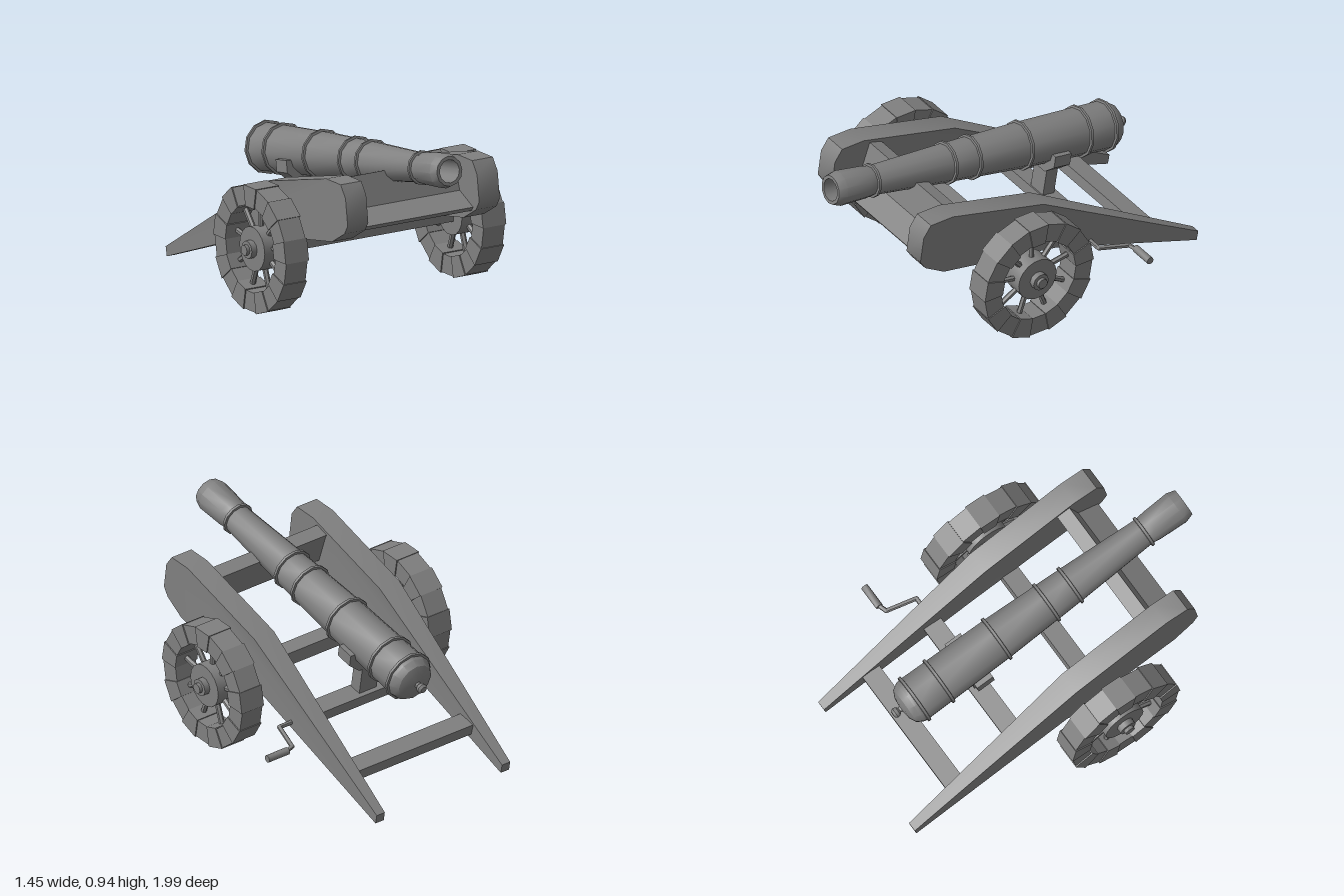
import * as THREE from 'three';
import { toCreasedNormals } from 'three/addons/utils/BufferGeometryUtils.js';

const mat = new THREE.MeshStandardMaterial({ color: 0x808080 });
const flat = new THREE.MeshStandardMaterial({ color: 0x808080, flatShading: true });
const CX = -0.02;                       // centre line of the carriage

function add(parent, name, geo, x = 0, y = 0, z = 0, material = flat) {
  const m = new THREE.Mesh(geo, material);
  m.name = name;
  m.position.set(x, y, z);
  parent.add(m);
  return m;
}

// Outline in the xy plane, extruded along z and centred on z = 0
function plate(points, depth) {
  const shape = new THREE.Shape(points.map(([x, y]) => new THREE.Vector2(x, y)));
  return new THREE.ExtrudeGeometry(shape, { depth, bevelEnabled: false }).translate(0, 0, -depth / 2);
}

// Side profile given as [z, y] points, extruded to a width centred on x = 0
const slab = (points, width) => plate(points, width).rotateY(-Math.PI / 2);

// Round bar between two points
function bar(parent, name, a, b, r, sides = 8) {
  const from = new THREE.Vector3(...a), to = new THREE.Vector3(...b);
  const dir = to.clone().sub(from);
  const geo = toCreasedNormals(new THREE.CylinderGeometry(r, r, dir.length(), sides), 0.9);
  const mid = from.add(to).multiplyScalar(0.5);
  const m = add(parent, name, geo, mid.x, mid.y, mid.z, mat);
  m.quaternion.setFromUnitVectors(new THREE.Vector3(0, 1, 0), dir.normalize());
}

function makeBarrel() {
  const barrel = new THREE.Group();
  barrel.name = 'barrel';
  const ring = (r, s) => [[r, s - 0.009], [r + 0.012, s - 0.007], [r + 0.012, s + 0.007], [r, s + 0.009]];
  // Radius and distance along the bore axis, breech to muzzle and back down the bore
  const profile = [
    [0, -0.848], [0.018, -0.845], [0.028, -0.832], [0.025, -0.815], [0.014, -0.805], [0.018, -0.795],
    [0.065, -0.789], [0.103, -0.771], [0.124, -0.738],
    ...ring(0.128, -0.71), ...ring(0.126, -0.555), ...ring(0.12, -0.19),
    ...ring(0.108, 0.125), ...ring(0.102, 0.275), ...ring(0.078, 0.74),
    [0.084, 0.79], [0.092, 0.945], [0.078, 0.992], [0.06, 0.992], [0.056, 0.35], [0, 0.35],
  ].map(([r, s]) => new THREE.Vector2(r, s));
  const geo = new THREE.LatheGeometry(profile, 12).rotateX(Math.PI / 2);
  add(barrel, 'gunTube', toCreasedNormals(geo, 0.56), 0, 0, 0, mat);
  // Saddle block gripping the tube, its lower corners cut off
  add(barrel, 'saddle', plate([
    [-0.145, -0.02], [-0.145, -0.085], [-0.075, -0.145], [0.075, -0.145], [0.145, -0.085], [0.145, -0.02],
  ], 0.1), 0, 0, -0.37);
  barrel.position.set(CX, 0.7, 0);
  barrel.rotation.x = -0.163;
  return barrel;
}

function makeWheel(side) {
  const wheel = new THREE.Group();
  wheel.name = side > 0 ? 'leftWheel' : 'rightWheel';
  const N = 18, half = Math.PI / N;
  // Rim of alternating wooden blocks
  for (let i = 0; i < N; i++) {
    const big = i % 2 === 0;
    const ro = big ? 0.336 : 0.332, ri = big ? 0.225 : 0.23;
    const at = (r, a) => [r * Math.sin(a), r * Math.cos(a)];
    const block = slab([at(ri, -half), at(ri, half), at(ro, half), at(ro, -half)], big ? 0.142 : 0.13);
    add(wheel, 'rimBlock', block).rotation.x = i * 2 * half;
  }
  // Spokes
  for (let i = 0; i < N / 2; i++) {
    const a = i * 4 * half, s = Math.sin(a), c = Math.cos(a);
    bar(wheel, 'spoke', [0, 0.09 * c, 0.09 * s], [0, 0.25 * c, 0.25 * s], 0.015, 6);
  }
  // Hub, washer and axle end
  bar(wheel, 'hub', [-0.055, 0, 0], [0.055, 0, 0], 0.117, 18);
  bar(wheel, 'washer', [0, 0, 0], [side * 0.087, 0, 0], 0.047, 10);
  bar(wheel, 'axleEnd', [0, 0, 0], [side * 0.105, 0, 0], 0.028, 10);
  wheel.position.set(CX + side * 0.603, 0.353, 0.148);
  return wheel;
}

function makeCheek(side) {
  const geo = slab([
    [-1, 0.053], [-0.99, 0.002], [-0.1, 0.338], [0.595, 0.468], [0.71, 0.537], [0.74, 0.585],
    [0.72, 0.727], [0.675, 0.79], [0.54, 0.79], [-0.02, 0.642],
  ], 0.126);
  // Narrow the trail toward its tip
  const p = geo.attributes.position;
  for (let i = 0; i < p.count; i++) {
    const t = THREE.MathUtils.clamp((-0.1 - p.getZ(i)) / 0.9, 0, 1);
    p.setX(i, p.getX(i) * (1 - 0.59 * t));
  }
  const m = new THREE.Mesh(toCreasedNormals(geo, 0.8), mat);
  m.name = side > 0 ? 'leftCheek' : 'rightCheek';
  m.position.x = CX + side * 0.402;
  return m;
}

export function createModel() {
  const model = new THREE.Group();
  model.name = 'cannon';
  model.add(makeBarrel());
  for (const side of [-1, 1]) model.add(makeCheek(side), makeWheel(side));

  // Front transom with its leaning board and sloping ledge
  add(model, 'frontTransom', slab([
    [0.43, 0.74], [0.49, 0.56], [0.67, 0.523], [0.684, 0.545], [0.56, 0.605], [0.505, 0.765],
  ], 0.7), CX);

  // Axle beam and the two tilted cross beams of the trail
  add(model, 'axleBeam', new THREE.BoxGeometry(1.12, 0.073, 0.1), CX, 0.352, 0.137);
  for (const [name, y, z, len] of [['middleCrossBeam', 0.306, -0.333, 0.75], ['rearCrossBeam', 0.16, -0.708, 0.78]]) {
    add(model, name, new THREE.BoxGeometry(len, 0.06, 0.105), CX, y, z).rotation.x = -0.17;
  }

  // Post under the saddle
  add(model, 'supportPost', new THREE.BoxGeometry(0.11, 0.26, 0.07), CX, 0.43, -0.345).rotation.x = -0.163;

  // Elevating crank on the left cheek
  const crank = new THREE.Group();
  crank.name = 'crank';
  const path = [[0.37, 0.285, -0.315], [0.51, 0.285, -0.315], [0.55, 0.262, -0.475], [0.6, 0.26, -0.49], [0.66, 0.26, -0.49]];
  for (let i = 0; i + 1 < path.length; i++) {
    bar(crank, 'crankRod', path[i], path[i + 1], 0.012);
    if (i > 0) add(crank, 'crankElbow', new THREE.SphereGeometry(0.012, 8, 6), ...path[i], mat);
  }
  bar(crank, 'crankHandle', [0.59, 0.26, -0.49], [0.722, 0.26, -0.49], 0.02);
  model.add(crank);
  return model;
}
